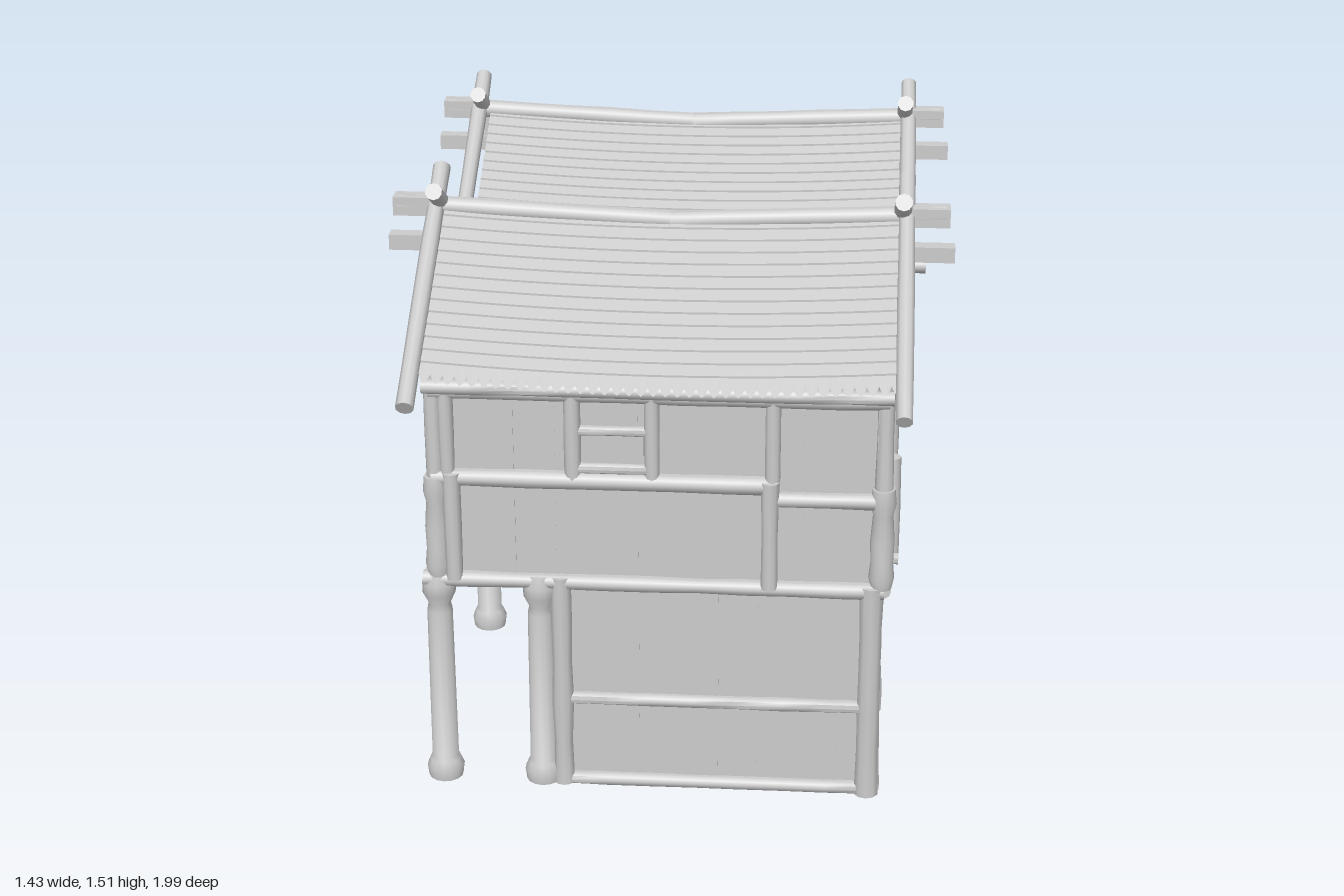
import * as THREE from 'three';
import { toCreasedNormals } from 'three/addons/utils/BufferGeometryUtils.js';

const V = (x, y, z) => new THREE.Vector3(x, y, z);
const RIDGE_Z = 0.42, SLOPE = 0.56;

export function createModel() {
  let seed = 7;
  const rand = () => (seed = (seed * 16807) % 2147483647) / 2147483647;
  const mat = new THREE.MeshStandardMaterial({ color: 0xcccccc });
  const thin = new THREE.MeshStandardMaterial({ color: 0xcccccc, side: THREE.DoubleSide });
  const model = new THREE.Group();
  model.name = 'twinGableHouse';

  function add(parent, name, geo, material = mat) {
    const m = new THREE.Mesh(geo, material);
    m.name = name;
    parent.add(m);
    return m;
  }
  function group(name, parent = model) {
    const g = new THREE.Group();
    g.name = name;
    parent.add(g);
    return g;
  }
  function box(parent, name, w, h, d, x, y, z) {
    const m = add(parent, name, new THREE.BoxGeometry(w, h, d));
    m.position.set(x, y, z);
    return m;
  }
  // slightly uneven round timber between two points
  function log(parent, name, a, b, r, wobble = 0.1) {
    const len = a.distanceTo(b), segs = Math.max(2, Math.round(len / 0.12));
    const pts = [new THREE.Vector2(0, 0)];
    for (let i = 0; i <= segs; i++) {
      pts.push(new THREE.Vector2(r * (1 + (rand() - 0.5) * 2 * wobble), (len * i) / segs));
    }
    pts.push(new THREE.Vector2(0, len));
    const m = add(parent, name, toCreasedNormals(new THREE.LatheGeometry(pts, 10), 0.9));
    m.position.copy(a);
    m.quaternion.setFromUnitVectors(V(0, 1, 0), b.clone().sub(a).normalize());
    return m;
  }
  // turned post from radius/height pairs
  function turned(parent, name, profile, x, y, z) {
    const geo = new THREE.LatheGeometry(profile.map(([r, h]) => new THREE.Vector2(r, h)), 14);
    add(parent, name, toCreasedNormals(geo, 0.8)).position.set(x, y, z);
  }
  // row of upright planks in local XY, with a top edge that follows topAt
  function planks(parent, name, x0, x1, y0, topAt, n) {
    const g = group(name, parent), w = (x1 - x0) / n;
    for (let i = 0; i < n; i++) {
      const a = x0 + i * w, b = a + w;
      const s = new THREE.Shape([[a, y0], [b, y0], [b, topAt(b)], [a, topAt(a)]]
        .map(([x, y]) => new THREE.Vector2(x, y)));
      const geo = new THREE.ExtrudeGeometry(s, { depth: 0.02, bevelEnabled: false });
      add(g, 'plank', geo).position.z = -0.02 + rand() * 0.005;
    }
    return g;
  }

  const gableTop = (z) => 1.39 - SLOPE * Math.abs(Math.abs(z) - RIDGE_Z);
  const bulge = [[0, 0], [0.026, 0], [0.032, 0.03], [0.028, 0.07], [0.03, 0.13], [0.025, 0.2], [0.032, 0.23], [0.028, 0.27], [0, 0.27]];
  const porchPost = [[0, 0], [0.044, 0], [0.048, 0.03], [0.04, 0.05], [0.034, 0.06], [0.032, 0.48],
    [0.028, 0.5], [0.042, 0.53], [0.042, 0.56], [0.034, 0.59], [0, 0.59]];

  // long eave walls of the upper floor: front, and the same turned to the back
  for (const side of [0, 1]) {
    const g = group(side ? 'backUpperWall' : 'frontUpperWall');
    g.rotation.y = side * Math.PI;
    planks(g, 'wallPlanks', -0.56, 0.56, 0.58, () => 1.13, 11).position.z = 0.825;
    const z = 0.835;
    log(g, 'sillRail', V(-0.59, 0.585, z), V(0.56, 0.585, z), 0.02);
    log(g, 'middleRail', V(-0.56, 0.865, z), V(0.29, 0.865, z), 0.022);
    log(g, 'shortRail', V(0.29, 0.83, z), V(0.56, 0.83, z), 0.02);
    log(g, 'topRail', V(-0.56, 1.095, z), V(0.56, 1.095, z), 0.02);
    for (const x of [-0.51, 0.275]) log(g, 'lowerStud', V(x, 0.59, z + 0.008), V(x, 0.88, z + 0.008), 0.022);
    for (const x of [-0.52, -0.21, -0.015, 0.28]) log(g, 'upperStud', V(x, 0.87, z), V(x, 1.1, z), 0.02);
    log(g, 'windowSill', V(-0.2, 0.9, z), V(-0.02, 0.9, z), 0.014);
    log(g, 'windowBar', V(-0.2, 1.0, z), V(-0.02, 1.0, z), 0.012);
    box(g, 'windowPanel', 0.15, 0.08, 0.015, -0.11, 0.95, 0.828);
  }

  // gable walls of the upper floor with their barred windows
  for (const side of [0, 1]) {
    const g = group(side ? 'gableWallLeftOfDoor' : 'gableWall');
    g.rotation.y = (side ? -1 : 1) * Math.PI / 2;
    for (const s of [-1, 1]) {
      // the two middle planks meet at the ridge
      const lo = s < 0 ? -0.84 : 0, hi = s < 0 ? 0 : 0.84;
      planks(g, 'gablePlanks', lo, hi, 0.58, gableTop, 8).position.z = 0.55;
      const rail = (name, y, a, b, r, d = 0.56) => log(g, name, V(s * a, y, d), V(s * b, y, d), r);
      rail('sillRail', 0.605, 0.03, 0.83, 0.02);
      rail('floorRail', 0.58, 0.03, 0.83, 0.016);
      rail('middleRail', 0.855, 0.03, 0.83, 0.014);
      rail('thinRail', 0.95, 0.03, 0.8, 0.008, 0.55);
      box(g, 'windowPanel', 0.4, 0.23, 0.012, s * 0.44, 0.735, 0.556);
      for (const y of [0.66, 0.71, 0.755, 0.81]) box(g, 'windowSlat', 0.4, 0.018, 0.014, s * 0.44, y, 0.563);
      for (const a of [0.36, 0.5]) box(g, 'windowUpright', 0.016, 0.21, 0.014, s * a, 0.73, 0.561);
      for (const a of [0.22, 0.65]) log(g, 'windowPost', V(s * a, 0.595, 0.575), V(s * a, 0.87, 0.575), 0.02);
      for (const a of [0.185, 0.695]) log(g, 'railPeg', V(s * a, 0.608, 0.54), V(s * a, 0.608, 0.595), 0.014);
      for (const a of [0.03, 0.83]) {
        turned(g, 'cornerPost', bulge, s * a, 0.595, 0.552);
        log(g, 'upperPost', V(s * a, 0.86, 0.552), V(s * a, 1.15, 0.552), 0.022);
      }
      // trim under the rakes
      for (const end of [0.01, 0.85]) {
        log(g, 'rakeTrim', V(s * end, gableTop(end) + 0.005, 0.56), V(s * RIDGE_Z, 1.39, 0.56), 0.016);
      }
    }
  }

  // ground floor: enclosed room with an open bottom
  const room = group('groundFloor');
  for (const s of [1, -1]) {
    const wall = planks(room, 'longWall', -0.25, 0.55, 0.01, () => 0.59, 8);
    wall.position.z = s * 0.825;
    if (s < 0) wall.position.z += 0.015;
    const z = s * 0.832;
    for (const y of [0.02, 0.255, 0.585]) log(room, 'wallRail', V(-0.25, y, z), V(0.54, y, z), 0.018);
    log(room, 'innerCorner', V(-0.245, 0.01, z), V(-0.245, 0.6, z), 0.026);
    for (const a of [0.03, 0.83]) {
      log(room, 'cornerPost', V(0.53, 0.005, s * a), V(0.53, 0.6, s * a), 0.03);
    }
    for (const y of [0.02, 0.255, 0.575]) log(room, 'sideRail', V(0.545, y, s * 0.03), V(0.545, y, s * 0.83), 0.018);
  }
  const sideWall = planks(room, 'sideWall', -0.83, 0.83, 0.01, () => 0.59, 16);
  sideWall.rotation.y = Math.PI / 2;
  sideWall.position.x = 0.54;
  const porchWall = planks(room, 'porchWall', -0.83, 0.83, 0.03, () => 0.59, 16);
  porchWall.rotation.y = -Math.PI / 2;
  porchWall.position.x = -0.27;

  // upper floor slab and its joists
  box(model, 'floorSlab', 1.11, 0.02, 1.65, -0.005, 0.585, 0);
  for (let i = -4; i <= 4; i++) log(model, 'joist', V(-0.56, 0.565, i * 0.185), V(0.52, 0.565, i * 0.185), 0.015);

  // porch: outer posts, wall posts and doors
  const porch = group('porch');
  log(porch, 'porchBeam', V(-0.555, 0.585, -0.83), V(-0.555, 0.585, 0.83), 0.024);
  log(porch, 'groundBeam', V(-0.285, 0.03, -0.83), V(-0.285, 0.03, 0.83), 0.022);
  log(porch, 'wallBeam', V(-0.285, 0.55, -0.83), V(-0.285, 0.55, 0.83), 0.02);
  for (const z of [-0.82, 0, 0.82]) {
    turned(porch, 'porchPost', porchPost, -0.555, 0.01, z);
    turned(porch, 'wallPost', porchPost, -0.3, 0.01, z);
  }
  for (const s of [-1, 1]) {
    for (const a of [0.2, 0.62]) log(porch, 'wallStud', V(-0.285, 0.03, s * a), V(-0.285, 0.57, s * a), 0.018);
    for (const x of [-0.283, -0.248]) {
      for (const a of [0.32, 0.5]) box(porch, 'doorJamb', 0.025, 0.42, 0.025, x, 0.23, s * a);
      box(porch, 'doorLintel', 0.03, 0.03, 0.22, x, 0.44, s * 0.41);
      box(porch, 'doorLeaf', 0.014, 0.4, 0.16, x, 0.23, s * 0.41);
    }
    for (const a of [0.11, 0.72]) box(porch, 'wallBar', 0.02, 0.02, 0.18, -0.283, 0.28, s * a);
  }

  // roof slope: overlapping shingle courses, a sagging middle and a scalloped eave
  function slope(parent, s, endZ, scallop) {
    const courses = 14, cols = 160;
    const geo = new THREE.PlaneGeometry(1, 1, cols, courses * 2 - 1);
    const p = geo.attributes.position;
    for (let i = 0; i < p.count; i++) {
      const col = i % (cols + 1), row = Math.floor(i / (cols + 1));
      const x = -0.57 + (1.16 * col) / cols;
      let z = THREE.MathUtils.lerp(RIDGE_Z, endZ, (Math.floor(row / 2) + (row % 2)) / courses);
      if (row === courses * 2 - 1) z += scallop * Math.abs(Math.sin((col * Math.PI) / 4));
      const sag = 0.022 * (1 - (x / 0.58) ** 2);
      const y = 1.43 - SLOPE * Math.abs(z - RIDGE_Z) - sag + (row % 2) * 0.005;
      p.setXYZ(i, x, y, s * z);
    }
    add(parent, 'shingles', toCreasedNormals(geo, 0.5), thin);
  }
  for (const s of [1, -1]) {
    const roof = group(s > 0 ? 'frontRoof' : 'backRoof');
    slope(roof, s, 0.9, 0.024);
    slope(roof, s, 0.0, 0);
    log(roof, 'eaveBeam', V(-0.57, 1.12, s * 0.87), V(0.57, 1.12, s * 0.87), 0.018);
    // ridge pole in two halves that dip toward the middle
    const z = s * RIDGE_Z;
    for (const e of [-1, 1]) {
      log(roof, 'ridgePole', V(0, 1.4, z), V(e * 0.69, 1.43, z), 0.025, 0.04);
      box(roof, 'ridgeEnd', 0.1, 0.048, 0.05, e * 0.65, 1.428, z);
      box(roof, 'purlinEnd', 0.17, 0.04, 0.04, e * 0.63, 1.33, z);
      box(roof, 'kingBlock', 0.03, 0.08, 0.025, e * 0.575, 1.375, z);
      // crossed rake poles
      const x = e * 0.592;
      log(roof, 'outerRake', V(x, 1.11, s * 0.985), V(x, 1.495, s * 0.32), 0.022, 0.06);
      log(roof, 'innerRake', V(x - e * 0.01 * s, 1.115, s * -0.15), V(x - e * 0.01 * s, 1.495, s * 0.52), 0.022, 0.06);
    }
  }
  // beam under the valley between the two roofs
  log(model, 'valleyBeam', V(-0.61, 1.14, 0), V(0.655, 1.14, 0), 0.022);
  return model;
}
